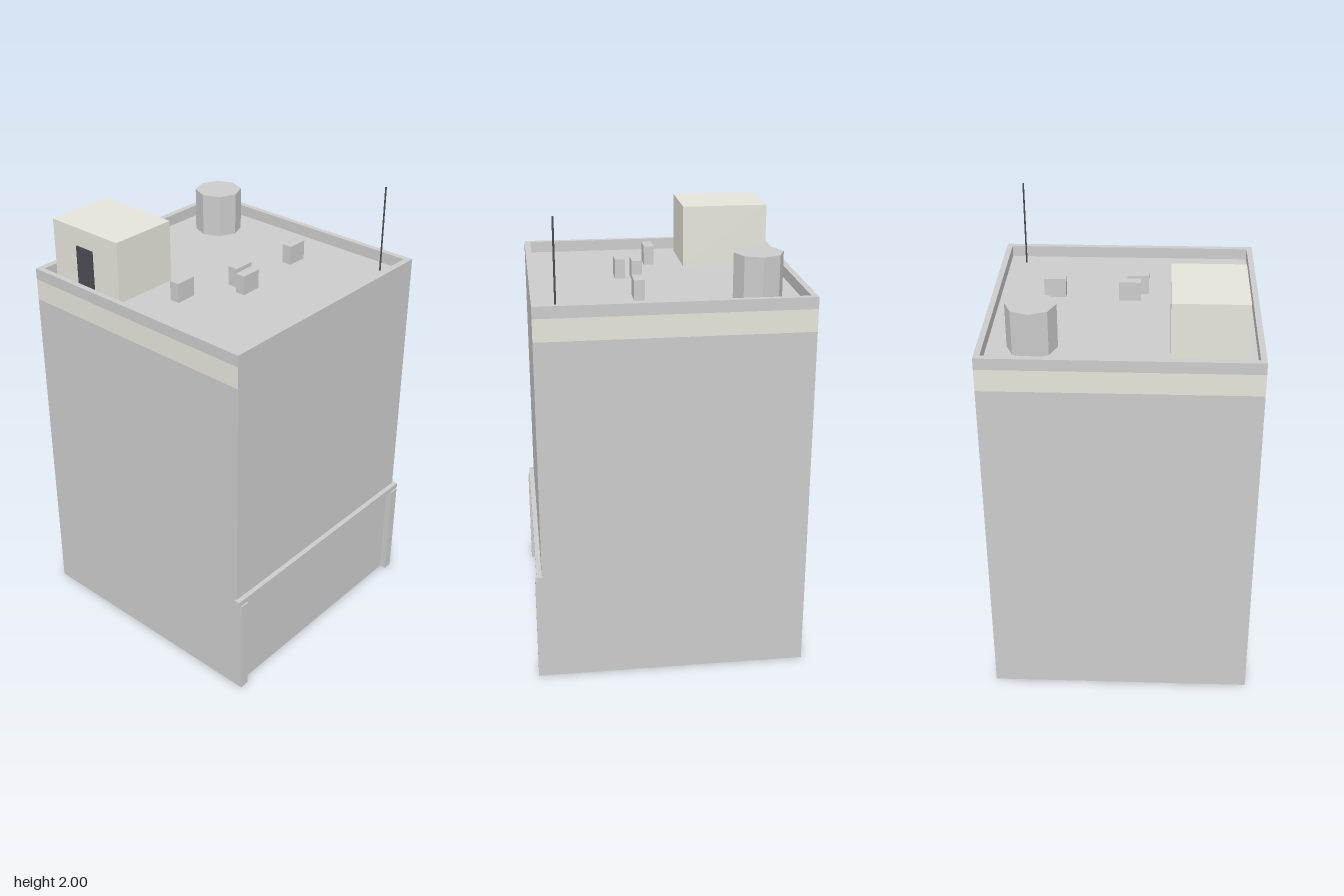
import * as THREE from 'three';

const material = (color) => new THREE.MeshStandardMaterial({ color, side: THREE.DoubleSide, flatShading: true });

export function createModel() {
  const model = new THREE.Group();
  const grey = material(0xcccccc);
  const beige = material(0xe6e4da);
  const dark = material(0x4b4d55);

  const add = (name, geometry, mat = grey) => {
    const mesh = new THREE.Mesh(geometry, mat);
    mesh.name = name;
    model.add(mesh);
    return mesh;
  };
  // Box given by its extents along each axis
  const box = (name, [x0, x1], [y0, y1], [z0, z1], mat) =>
    add(name, new THREE.BoxGeometry(x1 - x0, y1 - y0, z1 - z0), mat)
      .position.set((x0 + x1) / 2, (y0 + y1) / 2, (z0 + z1) / 2);
  // Upright sheet facing outward, turned about y
  const wall = (name, width, y0, y1, x, z, turn, mat) => {
    const mesh = add(name, new THREE.PlaneGeometry(width, y1 - y0), mat);
    mesh.position.set(x, (y0 + y1) / 2, z);
    mesh.rotation.y = turn;
  };

  const halfW = 0.57, back = -0.585, front = 0.557;
  const depth = front - back, midZ = (front + back) / 2;
  const bandY = 1.525, roofY = 1.62, topY = 1.67;

  // Hollow tower, open underneath; a pale band runs round the sides and back
  wall('frontWall', halfW * 2, 0, roofY, 0, front, 0);
  const sides = [
    ['right', depth, -halfW, midZ, -Math.PI / 2],
    ['left', depth, halfW, midZ, Math.PI / 2],
    ['back', halfW * 2, 0, back, Math.PI],
  ];
  for (const [name, width, x, z, turn] of sides) {
    wall(name + 'Wall', width, 0, bandY, x, z, turn);
    wall(name + 'Band', width, bandY, roofY, x, z, turn, beige);
  }

  // Roof deck
  const roof = add('roof', new THREE.PlaneGeometry(halfW * 2, depth));
  roof.rotation.x = -Math.PI / 2;
  roof.position.set(0, roofY, midZ);

  // Parapet ring
  const rect = (Type, w, d) => new Type([[-w, -d], [w, -d], [w, d], [-w, d]].map(([x, y]) => new THREE.Vector2(x, y)));
  const ring = rect(THREE.Shape, halfW, depth / 2);
  ring.holes.push(rect(THREE.Path, halfW - 0.025, depth / 2 - 0.027));
  const parapet = add('parapet', new THREE.ExtrudeGeometry(ring, { depth: topY - roofY, bevelEnabled: false }));
  parapet.rotation.x = -Math.PI / 2;
  parapet.position.set(0, roofY, midZ);

  // Ground-floor pilasters and the ledge over them
  box('rightPilaster', [-halfW, -0.527], [0, 0.465], [front, 0.585]);
  box('leftPilaster', [0.527, halfW], [0, 0.465], [front, 0.585]);
  box('ledge', [-0.58, 0.58], [0.465, 0.49], [0.55, 0.579]);

  // Stair house with its door
  box('stairHouse', [-0.5, -0.195], [roofY, 1.89], [-0.53, -0.15], beige);
  box('stairDoor', [-0.507, -0.499], [roofY, 1.81], [-0.388, -0.295], dark);

  // Eight-sided water tank
  add('waterTank', new THREE.CylinderGeometry(0.104, 0.104, 1.81 - roofY, 8))
    .position.set(0.36, (1.81 + roofY) / 2, -0.379);

  // Ventilation units
  for (const [x, z] of [[-0.285, 0.001], [-0.019, 0.085], [-0.053, 0.155], [0.307, 0.111]]) {
    box('ventUnit', [x - 0.047, x + 0.047], [roofY, 1.705], [z - 0.0225, z + 0.0225]);
  }

  // Antenna mast
  add('antenna', new THREE.CylinderGeometry(0.004, 0.004, 2 - roofY, 6), dark)
    .position.set(0.473, (2 + roofY) / 2, 0.46);

  return model;
}
